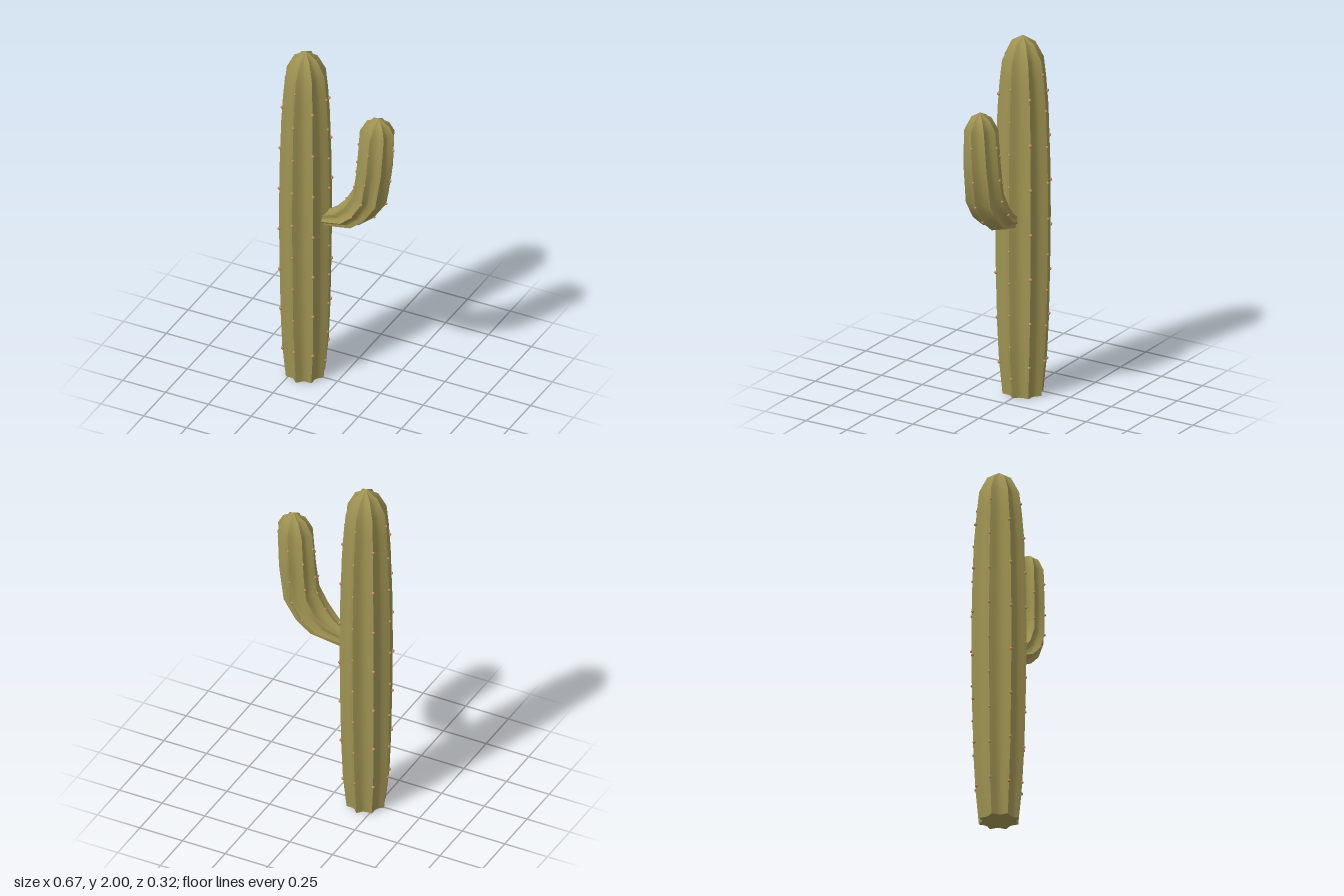
import * as THREE from 'three';
import { mergeGeometries, toCreasedNormals } from 'three/addons/utils/BufferGeometryUtils.js';

const RIBS = 8;
const RIB_PROFILE = [1, 0.9, 0.81, 0.8, 0.81, 0.9]; // ridge, valley, back towards the next ridge
const SIDES = RIBS * RIB_PROFILE.length;

// A ring runs from its inner edge (ux, uy) to its outer edge (lx, ly), with half-depth z.
const ring = (ux, uy, lx, ly, z) => ({
  c: new THREE.Vector3((ux + lx) / 2, (uy + ly) / 2, 0),
  u: new THREE.Vector3((lx - ux) / 2, (ly - uy) / 2, 0),
  z,
});

function ringPoint(r, angle, scale) {
  const p = r.c.clone().addScaledVector(r.u, Math.cos(angle) * scale);
  p.z += r.z * Math.sin(angle) * scale;
  return p;
}

// Ribbed skin through the rings, closed at both ends
function ribbedBody(rings, tip) {
  const pos = [];
  const index = [];
  for (const r of rings) {
    for (let i = 0; i < SIDES; i++) {
      const s = RIB_PROFILE[i % RIB_PROFILE.length];
      pos.push(...ringPoint(r, (i / SIDES) * Math.PI * 2, s).toArray());
    }
  }
  const base = rings.length * SIDES;
  pos.push(...rings[0].c.toArray(), ...tip);
  const last = (rings.length - 1) * SIDES;
  for (let i = 0; i < SIDES; i++) {
    const n = (i + 1) % SIDES;
    for (let j = 0; j < rings.length - 1; j++) {
      const a = j * SIDES;
      const b = a + SIDES;
      index.push(a + i, b + i, b + n, a + i, b + n, a + n);
    }
    index.push(base, i, n, last + i, base + 1, last + n);
  }
  const geo = new THREE.BufferGeometry();
  geo.setAttribute('position', new THREE.Float32BufferAttribute(pos, 3));
  geo.setIndex(index);
  return toCreasedNormals(geo, 0.6);
}

// Small rounded areole on a ridge; t counts rings along the body
function areole(rings, t, rib, size = 0.008) {
  const j = Math.min(Math.floor(t), rings.length - 2);
  const angle = (rib / RIBS) * Math.PI * 2;
  const p = ringPoint(rings[j], angle, 1).lerp(ringPoint(rings[j + 1], angle, 1), t - j);
  return new THREE.SphereGeometry(size, 8, 6).translate(p.x, p.y, p.z);
}

export function createModel() {
  const group = new THREE.Group();
  const skin = new THREE.MeshStandardMaterial({ color: 0x9f9352 });
  skin.name = 'olive skin';
  const tan = new THREE.MeshStandardMaterial({ color: 0xc48d5e });
  tan.name = 'tan areole';
  const add = (geo, mat, name) => {
    const mesh = new THREE.Mesh(geo, mat);
    mesh.name = name;
    group.add(mesh);
  };

  // Trunk: height, half-width, half-depth
  const cx = -0.187;
  const trunk = [
    [0, 0.105, 0.112], [0.19, 0.126, 0.13], [0.4, 0.133, 0.142], [0.7, 0.138, 0.15],
    [1.0, 0.141, 0.154], [1.3, 0.138, 0.151], [1.6, 0.129, 0.141], [1.75, 0.121, 0.128],
    [1.87, 0.11, 0.113], [1.96, 0.065, 0.067],
  ].map(([y, w, d]) => ring(cx - w, y, cx + w, y, d));
  add(ribbedBody(trunk, [cx, 2, 0]), skin, 'trunk');

  // Side arm, curving outwards and then up
  const arm = [
    ring(-0.09, 1.03, -0.06, 0.955, 0.04), ring(0.0, 1.095, 0.125, 1.01, 0.095),
    ring(0.05, 1.15, 0.21, 1.08, 0.107), ring(0.1, 1.24, 0.285, 1.19, 0.107),
    ring(0.115, 1.38, 0.318, 1.4, 0.099), ring(0.13, 1.6, 0.33, 1.62, 0.087),
    ring(0.172, 1.675, 0.3, 1.675, 0.055),
  ];
  add(ribbedBody(arm, [0.24, 1.71, 0]), skin, 'arm');

  // Areoles spaced up each trunk ridge
  const trunkDots = [];
  for (let rib = 0; rib < RIBS; rib++) {
    const diagonal = rib % 2 === 1;
    const start = rib === 0 ? 0.11 : diagonal ? 0.18 : 0.2;
    const step = rib === 0 ? 0.18 : diagonal ? 0.25 : 0.2;
    for (let y = start; y < 1.82; y += step) {
      const j = trunk.findIndex((r) => r.c.y > y) - 1;
      const t = j + (y - trunk[j].c.y) / (trunk[j + 1].c.y - trunk[j].c.y);
      trunkDots.push(areole(trunk, t, rib, diagonal ? 0.009 : 0.007));
    }
  }
  add(mergeGeometries(trunkDots), tan, 'trunkAreoles');

  // Areoles along the arm ridges
  const armDots = [];
  for (const rib of [0, 2, 4, 6]) {
    for (const t of [2.05, 3, 3.7, 4.6]) armDots.push(areole(arm, t, rib, 0.007));
  }
  for (const rib of [3, 5]) {
    for (const t of [3.4, 4.3]) armDots.push(areole(arm, t, rib, 0.007));
  }
  add(mergeGeometries(armDots), tan, 'armAreoles');

  return group;
}
